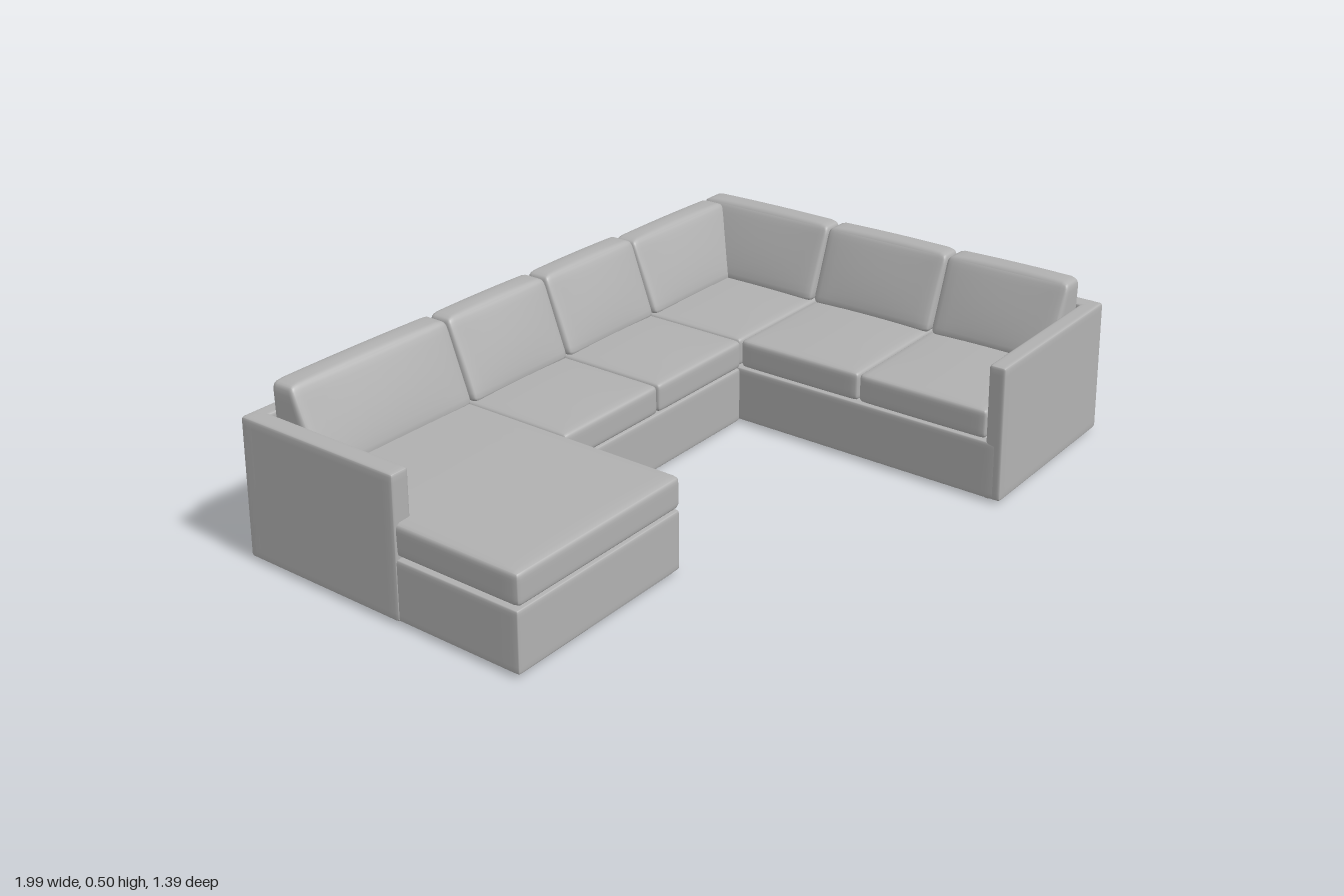
import * as THREE from 'three';
import { mergeVertices } from 'three/addons/utils/BufferGeometryUtils.js';

const fabric = new THREE.MeshStandardMaterial({ color: 0xb0b0b0 });
fabric.name = 'grey fabric';

// Rounded, optionally puffed box between two corners; rule(v, fx, fy, fz) reshapes each vertex
function softBox(name, [x0, x1], [y0, y1], [z0, z1], radius, puff = [0, 0, 0], rule) {
  const geo = new THREE.BoxGeometry(2, 2, 2, 14, 14, 14);
  const pos = geo.attributes.position;
  const half = new THREE.Vector3(x1 - x0, y1 - y0, z1 - z0).multiplyScalar(0.5);
  const mid = new THREE.Vector3(x0 + x1, y0 + y1, z0 + z1).multiplyScalar(0.5);
  const inner = half.clone().subScalar(radius);
  const v = new THREE.Vector3(), core = new THREE.Vector3();
  // crowd the grid towards the edges, where the rounding is
  const crowd = (t) => Math.sign(t) * (1 - (1 - Math.abs(t)) ** 2.5);
  for (let i = 0; i < pos.count; i++) {
    v.fromBufferAttribute(pos, i);
    v.set(crowd(v.x), crowd(v.y), crowd(v.z));
    const u = v.clone();
    v.multiply(half);
    core.copy(v).clamp(inner.clone().negate(), inner);
    v.sub(core);
    if (v.lengthSq() > 0) v.setLength(Math.min(radius, Math.max(Math.abs(v.x), Math.abs(v.y), Math.abs(v.z))));
    v.add(core);
    const a = 1 - u.x * u.x, b = 1 - u.y * u.y, c = 1 - u.z * u.z;
    v.x += puff[0] * u.x * b * c;
    v.y += puff[1] * u.y * a * c;
    v.z += puff[2] * u.z * a * b;
    v.add(mid);
    if (rule) rule(v, (v.x - x0) / (x1 - x0), (v.y - y0) / (y1 - y0), (v.z - z0) / (z1 - z0));
    pos.setXYZ(i, v.x, v.y, v.z);
  }
  geo.deleteAttribute('normal');
  geo.deleteAttribute('uv');
  const welded = mergeVertices(geo, 1e-5);
  welded.computeVertexNormals();
  const mesh = new THREE.Mesh(welded, fabric);
  mesh.name = name;
  return mesh;
}

// Upholstered frame flares slightly towards the floor
const flare = (v) => {
  const t = 1 - v.y / 0.4;
  v.x *= 1 + 0.012 * t;
  v.z *= 1 + 0.014 * t;
};
const frame = (name, x, y, z) => softBox(name, x, y, z, 0.009, [0, 0, 0], flare);

const seat = (name, x, z, top = 0.268) => softBox(name, x, [0.181, top], z, 0.016, [0, 0.007, 0]);

// Leaning back cushion: deep at the bottom, narrow at the top
const backCushion = (name, x, top) =>
  softBox(name, x, [0.262, top], [-0.64, -0.475], 0.022, [0, 0.006, 0.012], (v, fx, fy, fz) => {
    const front = -0.472 - 0.088 * fy, back = -0.64 + 0.008 * fy;
    v.z = back + (front - back) * fz;
  });

export function createModel() {
  const model = new THREE.Group();
  model.name = 'sectionalSofa';

  // Bases
  const baseY = [0.008, 0.178];
  model.add(
    frame('chaiseBase', [-0.984, -0.39], baseY, [-0.67, 0.22]),
    frame('middleBase', [-0.388, 0.392], baseY, [-0.67, -0.16]),
    frame('rightBase', [0.394, 0.96], baseY, [-0.67, 0.67]),
  );

  // Back panels and arms
  const wallY = [0.008, 0.402];
  [[-0.988, -0.386], [-0.385, 0.394], [0.395, 0.976]].forEach((x, i) =>
    model.add(frame('backPanel' + (i + 1), x, wallY, [-0.685, -0.636])));
  model.add(
    frame('chaiseArm', [-0.988, -0.932], wallY, [-0.685, -0.158]),
    frame('sidePanel', [0.924, 0.978], wallY, [-0.682, 0.687]),
    frame('frontArm', [0.395, 0.977], wallY, [0.638, 0.688]),
  );

  // Seat cushions
  model.add(
    seat('chaiseSeat', [-0.986, -0.39], [-0.64, 0.222], 0.272),
    seat('middleSeat1', [-0.387, 0.001], [-0.64, -0.156]),
    seat('middleSeat2', [0.003, 0.392], [-0.64, -0.156]),
    seat('cornerSeat', [0.394, 0.93], [-0.64, -0.165]),
    seat('sideSeat1', [0.394, 0.93], [-0.163, 0.239]),
    seat('sideSeat2', [0.394, 0.93], [0.241, 0.642]),
  );

  // Back cushions along the rear
  [[-0.926, -0.387], [-0.383, 0.002], [0.006, 0.393], [0.397, 0.85]].forEach((x, i) =>
    model.add(backCushion('rearCushion' + (i + 1), x, i < 3 ? 0.49 : 0.482)));

  // Back cushions along the side, turned a quarter
  const sideCushions = new THREE.Group();
  sideCushions.name = 'sideCushions';
  [[-0.632, -0.166], [-0.162, 0.246], [0.25, 0.636]].forEach((x, i) =>
    sideCushions.add(backCushion('sideCushion' + (i + 1), x, 0.486)));
  sideCushions.rotation.y = -Math.PI / 2;
  sideCushions.position.x = 0.287;
  model.add(sideCushions);

  // Small feet under the corners
  const footGeo = new THREE.CylinderGeometry(0.016, 0.014, 0.012, 16);
  [[-0.95, -0.65], [-0.95, 0.18], [-0.43, 0.18], [-0.385, -0.65], [0.395, -0.65],
    [0.94, -0.65], [0.94, 0.65], [0.43, 0.65], [0.43, -0.2]].forEach(([x, z]) => {
    const foot = new THREE.Mesh(footGeo, fabric);
    foot.name = 'foot';
    foot.position.set(x, 0.006, z);
    model.add(foot);
  });
  return model;
}
